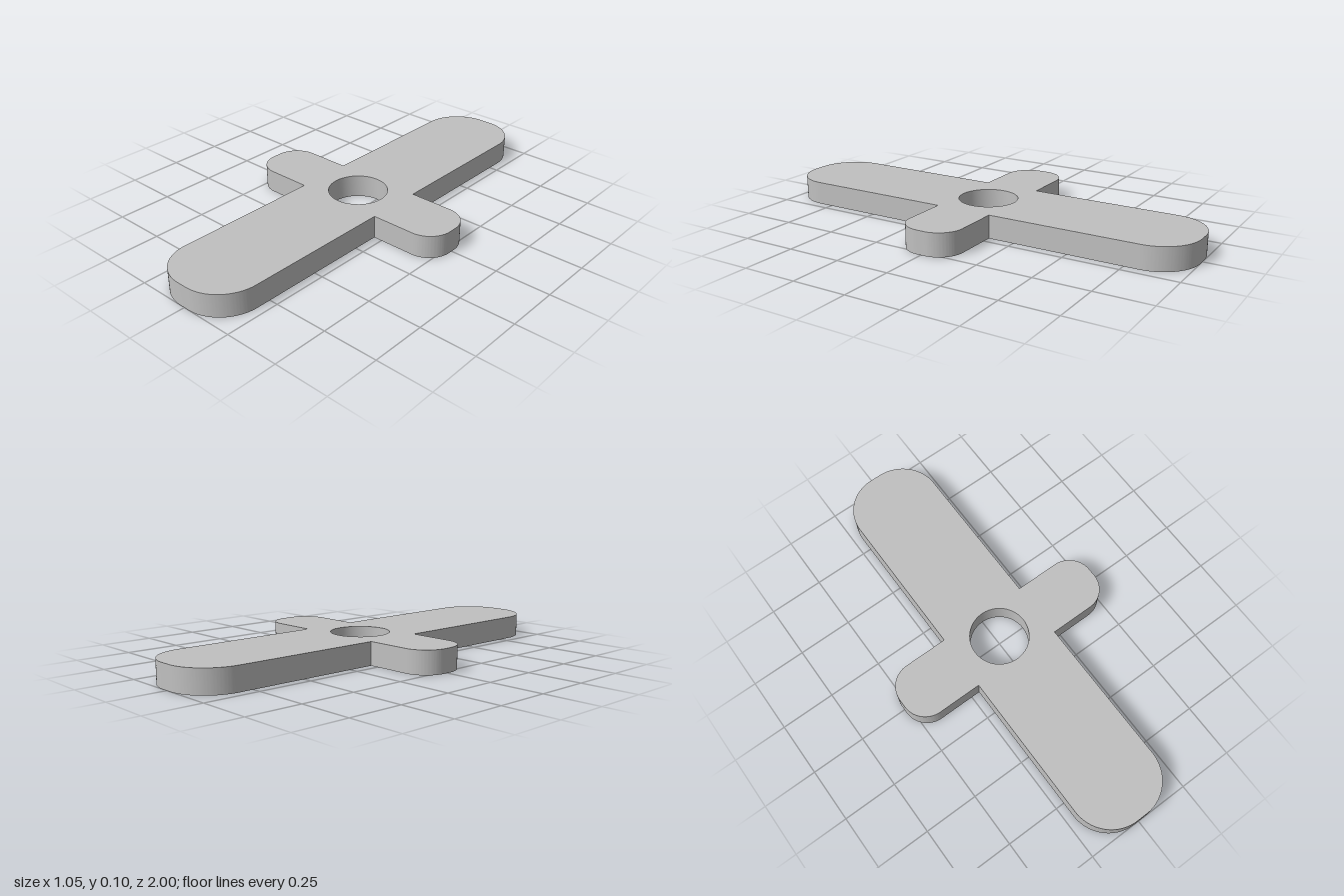
import * as THREE from 'three';
import { toCreasedNormals } from 'three/addons/utils/BufferGeometryUtils.js';

const HEIGHT = 0.105;
const LONG = { half: 0.21, end: 1, radius: 0.185 };
const SHORT = { half: 0.131, end: 0.526, radius: 0.112 };
const HOLE_RADIUS = 0.133;

// Outline of the cross: four arms, each with two rounded corners
function crossOutline() {
  const shape = new THREE.Shape();
  for (let i = 0; i < 4; i++) {
    const { half, end, radius } = i % 2 ? LONG : SHORT;
    const angle = i * Math.PI / 2;
    const point = (along, across) => new THREE.Vector2(along, across).rotateAround(new THREE.Vector2(), angle);
    const inner = (i % 2 ? SHORT : LONG).half;
    const start = point(inner, -half);
    if (i === 0) shape.moveTo(start.x, start.y);
    else shape.lineTo(start.x, start.y);
    for (const side of [-1, 1]) {
      const c = point(end - radius, side * (half - radius));
      const from = side < 0 ? angle - Math.PI / 2 : angle;
      shape.absarc(c.x, c.y, radius, from, from + Math.PI / 2, false);
    }
    const finish = point(inner, half);
    shape.lineTo(finish.x, finish.y);
  }
  shape.closePath();
  return shape;
}

export function createModel() {
  const model = new THREE.Group();
  model.name = 'crossPlate';

  const grey = new THREE.MeshStandardMaterial({ color: 0xc0c0c0 });
  grey.name = 'grey';

  // Flat plate with a round hole through the middle
  const shape = crossOutline();
  shape.holes.push(new THREE.Path().absarc(0, 0, HOLE_RADIUS, 0, Math.PI * 2, true));
  const extruded = new THREE.ExtrudeGeometry(shape, { depth: HEIGHT, bevelEnabled: false, curveSegments: 24 });
  extruded.rotateX(-Math.PI / 2);

  const plate = new THREE.Mesh(toCreasedNormals(extruded, Math.PI / 6), grey);
  plate.name = 'plate';
  model.add(plate);
  return model;
}
